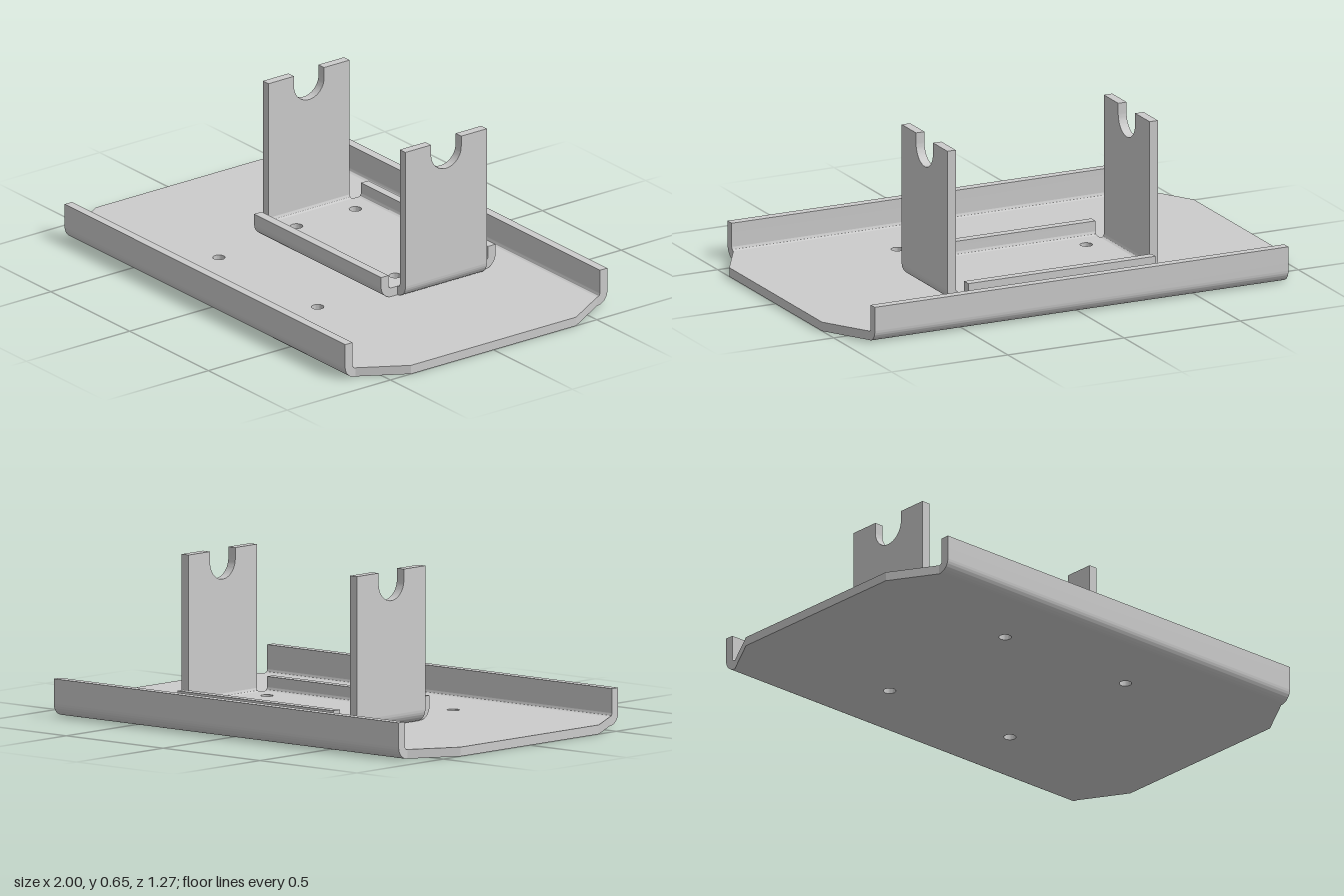
import * as THREE from 'three';
import { toCreasedNormals } from 'three/addons/utils/BufferGeometryUtils.js';

const T = 0.036; // sheet thickness
const R = 0.05; // outer bend radius
const material = new THREE.MeshStandardMaterial({ color: 0xcccccc });

function extrude(shape, depth) {
  return new THREE.ExtrudeGeometry(shape, { depth, bevelEnabled: false, curveSegments: 16 });
}

function mesh(name, geometry) {
  const m = new THREE.Mesh(toCreasedNormals(geometry, 0.5), material);
  m.name = name;
  return m;
}

// Flat sheet lying on y = 0, outlined by [x, z] points, with round holes
function sheet(name, points, holes, radius) {
  const shape = new THREE.Shape(points.map(([x, z]) => new THREE.Vector2(x, -z)));
  for (const [x, z] of holes) {
    shape.holes.push(new THREE.Path().absarc(x, -z, radius, 0, Math.PI * 2, true));
  }
  return mesh(name, extrude(shape, T).rotateX(-Math.PI / 2));
}

// Sheet edge folded upward: starts at x = 0, ends at x = R, runs along z
function fold(name, length, height) {
  const s = new THREE.Shape();
  s.moveTo(0, 0);
  s.absarc(0, R, R, -Math.PI / 2, 0, false);
  s.lineTo(R, height);
  s.lineTo(R - T, height);
  s.lineTo(R - T, R);
  s.absarc(0, R, R - T, 0, -Math.PI / 2, true);
  s.closePath();
  return mesh(name, extrude(s, length).translate(0, 0, -length / 2));
}

// Upright arm with a U-shaped notch in its top edge
function armPlate(width, height) {
  const w = width / 2, r = 0.073, notchY = 0.603 - T;
  const s = new THREE.Shape();
  s.moveTo(-w, R);
  s.lineTo(w, R);
  s.lineTo(w, height);
  s.lineTo(r, height);
  s.lineTo(r, notchY);
  s.absarc(0, notchY, r, 0, -Math.PI, true);
  s.lineTo(-r, height);
  s.lineTo(-w, height);
  s.closePath();
  return mesh('armPlate', extrude(s, T).rotateY(Math.PI / 2).translate(R - T, 0, 0));
}

export function createModel() {
  const model = new THREE.Group();
  model.name = 'mountingBracket';

  // Base tray: clipped-corner sheet with front and back flanges
  const base = new THREE.Group();
  base.name = 'baseTray';
  const bz = 0.635 - R;
  base.add(sheet('basePlate', [
    [-0.89, bz], [0.89, bz], [1, 0.4], [1, -0.4],
    [0.89, -bz], [-0.89, -bz], [-1, -0.4], [-1, 0.4],
  ], [[-0.313, 0.328], [0.313, 0.328], [-0.313, -0.333], [0.313, -0.333]], 0.024));
  for (const side of [1, -1]) {
    const flange = fold(side > 0 ? 'frontFlange' : 'backFlange', 1.78, 0.145);
    flange.rotation.y = -side * Math.PI / 2;
    flange.position.z = side * bz;
    base.add(flange);
  }
  model.add(base);

  // Cradle: floor, two low lips and two notched arms, resting on the base
  const cradle = new THREE.Group();
  cradle.name = 'cradle';
  cradle.position.set(0, T, -0.188);
  const cx = 0.403, cz = 0.227;
  cradle.add(sheet('cradleFloor', [[-cx, cz], [cx, cz], [cx, -cz], [-cx, -cz]],
    [[-0.313, 0.14], [0.313, 0.14], [-0.313, -0.145], [0.313, -0.145]], 0.024));
  for (const side of [1, -1]) {
    const lip = fold(side > 0 ? 'frontLip' : 'backLip', cx * 2, 0.127 - T);
    lip.rotation.y = -side * Math.PI / 2;
    lip.position.z = side * cz;
    cradle.add(lip);

    const arm = new THREE.Group();
    arm.name = side > 0 ? 'leftArm' : 'rightArm';
    arm.add(fold('armBend', 0.394, R), armPlate(0.394, 0.645 - T));
    arm.rotation.y = side > 0 ? 0 : Math.PI;
    arm.position.x = side * cx;
    cradle.add(arm);
  }
  model.add(cradle);

  return model;
}
